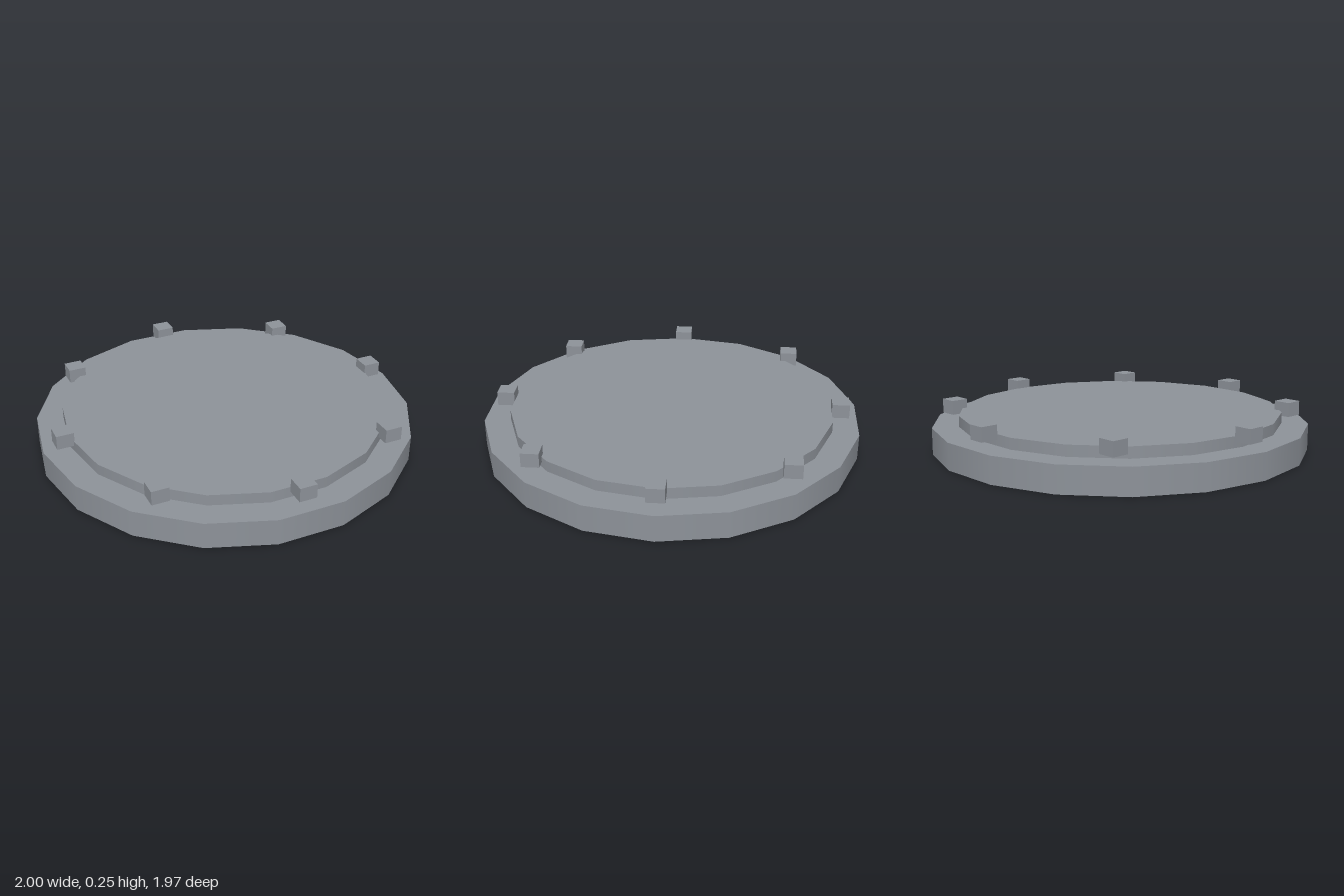
import * as THREE from 'three';

const SIDES = 18;

export function createModel() {
  const model = new THREE.Group();
  const grey = new THREE.MeshStandardMaterial({ color: 0x8d9299, side: THREE.DoubleSide });
  grey.name = 'grey metal';

  // A shallow cap: smooth side wall and flat top, open underneath
  function cap(name, radius, bottom, top) {
    const group = new THREE.Group();
    group.name = name;
    const wall = new THREE.Mesh(
      new THREE.CylinderGeometry(radius, radius, top - bottom, SIDES, 1, true).rotateY(Math.PI / 2), grey);
    wall.name = name + 'Wall';
    wall.position.y = (top + bottom) / 2;
    const lid = new THREE.Mesh(new THREE.CircleGeometry(radius, SIDES).rotateX(-Math.PI / 2), grey);
    lid.name = name + 'Top';
    lid.position.y = top;
    group.add(wall, lid);
    model.add(group);
  }
  cap('base', 1, 0, 0.14);
  cap('raisedDisc', 0.86, 0.12, 0.198);

  // Eight axis-aligned studs around the rim
  const studGeometry = new THREE.BoxGeometry(0.092, 0.075, 0.092);
  for (let i = 0; i < 8; i++) {
    const a = (i * Math.PI) / 4;
    const stud = new THREE.Mesh(studGeometry, grey);
    stud.name = 'stud' + (i + 1);
    stud.position.set(0.893 * Math.cos(a), 0.208, 0.893 * Math.sin(a));
    model.add(stud);
  }
  return model;
}
